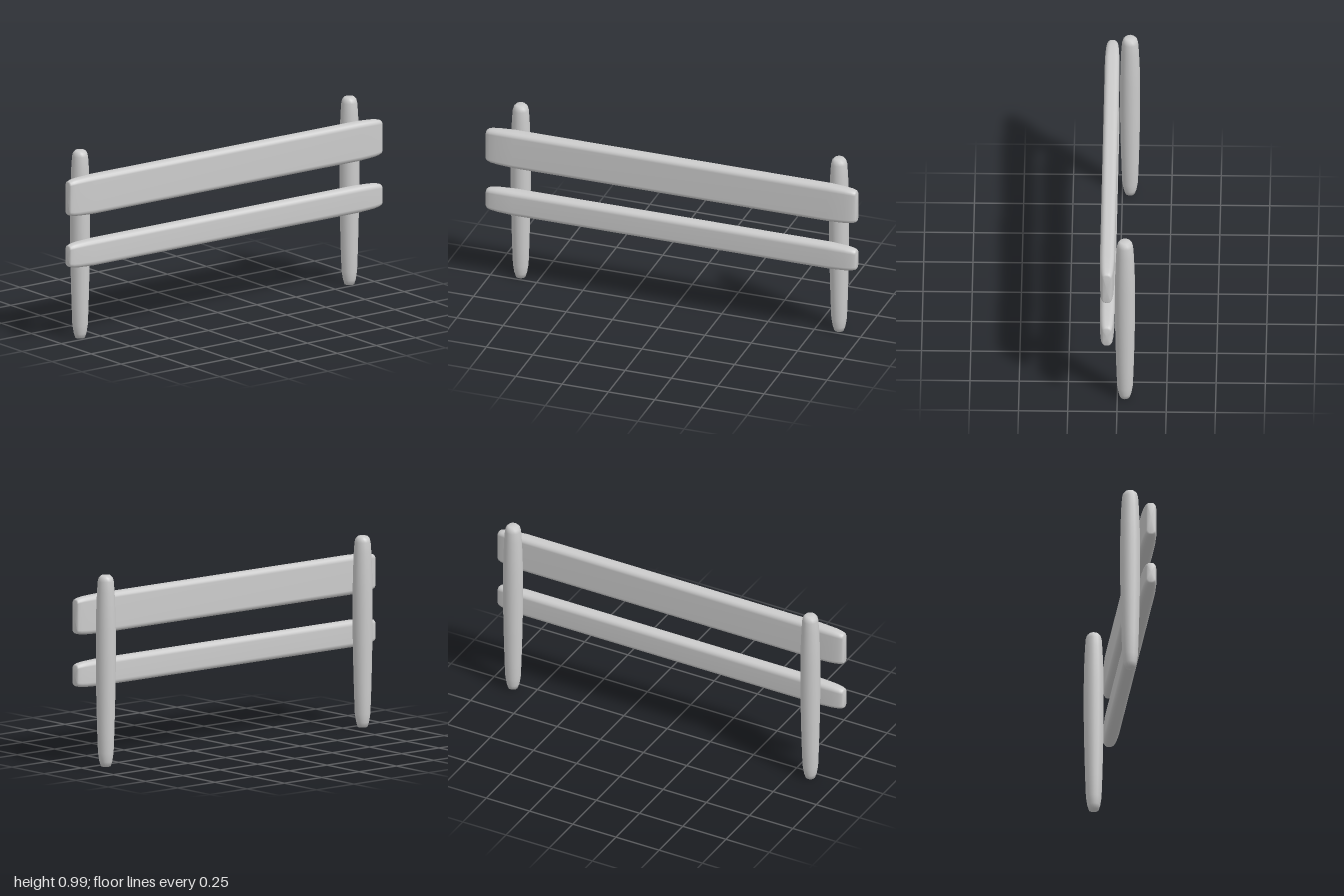
import * as THREE from 'three';

const material = new THREE.MeshStandardMaterial({ color: 0xcccccc });

// Rounded rectangle cross-section, counter-clockwise
function roundedRect(hw, hh, r, steps = 4) {
  const pts = [];
  [[1, 1], [-1, 1], [-1, -1], [1, -1]].forEach(([sx, sy], q) => {
    for (let i = 0; i <= steps; i++) {
      const a = (q + i / steps) * Math.PI / 2;
      pts.push([sx * (hw - r) + r * Math.cos(a), sy * (hh - r) + r * Math.sin(a)]);
    }
  });
  return pts;
}

// Plank lofted along z, its ends narrowing softly
function plankGeometry(width, height) {
  const half = [[1, 0.019], [0.993, 0.013], [0.975, 0.008], [0.94, 0.004], [0.85, 0]];
  const stations = [...half, ...half.map(([z, d]) => [-z, d]).reverse()];
  const pos = [], idx = [];
  let n = 0;
  for (const [z, inset] of stations) {
    const ring = roundedRect(width / 2 - inset, height / 2 - inset, 0.026 - inset * 0.5);
    n = ring.length;
    ring.forEach(([x, y]) => pos.push(x, y, z));
  }
  const last = stations.length - 1;
  for (let s = 0; s < last; s++) {
    for (let k = 0; k < n; k++) {
      const a = s * n + k, b = s * n + (k + 1) % n;
      idx.push(a, a + n, b + n, a, b + n, b);
    }
  }
  // end caps
  const c = pos.length / 3;
  pos.push(0, 0, 1, 0, 0, -1);
  for (let k = 0; k < n; k++) {
    const k2 = (k + 1) % n;
    idx.push(c, k, k2, c + 1, last * n + k2, last * n + k);
  }
  const g = new THREE.BufferGeometry();
  g.setAttribute('position', new THREE.Float32BufferAttribute(pos, 3));
  g.setIndex(idx);
  g.computeVertexNormals();
  return g;
}

export function createModel() {
  const group = new THREE.Group();
  const add = (name, geometry, x, y, z) => {
    const mesh = new THREE.Mesh(geometry, material);
    mesh.name = name;
    mesh.position.set(x, y, z);
    group.add(mesh);
  };

  // Round posts, tapering to blunt ends
  const profile = [
    [0, 0], [0.025, 0], [0.033, 0.025], [0.04, 0.07], [0.044, 0.18], [0.048, 0.33], [0.051, 0.5],
    [0.051, 0.7], [0.049, 0.8], [0.045, 0.9], [0.041, 0.955], [0.036, 0.973], [0.025, 0.985], [0, 0.985],
  ].map(([r, y]) => new THREE.Vector2(r, y));
  const post = new THREE.LatheGeometry(profile, 16);
  add('frontPost', post, -0.039, 0, 0.85);
  add('backPost', post, -0.039, 0, -0.87);

  // Two rails fixed to the side of the posts
  add('upperPlank', plankGeometry(0.074, 0.203), 0.052, 0.774, 0);
  add('lowerPlank', plankGeometry(0.074, 0.138), 0.052, 0.47, 0);

  return group;
}
